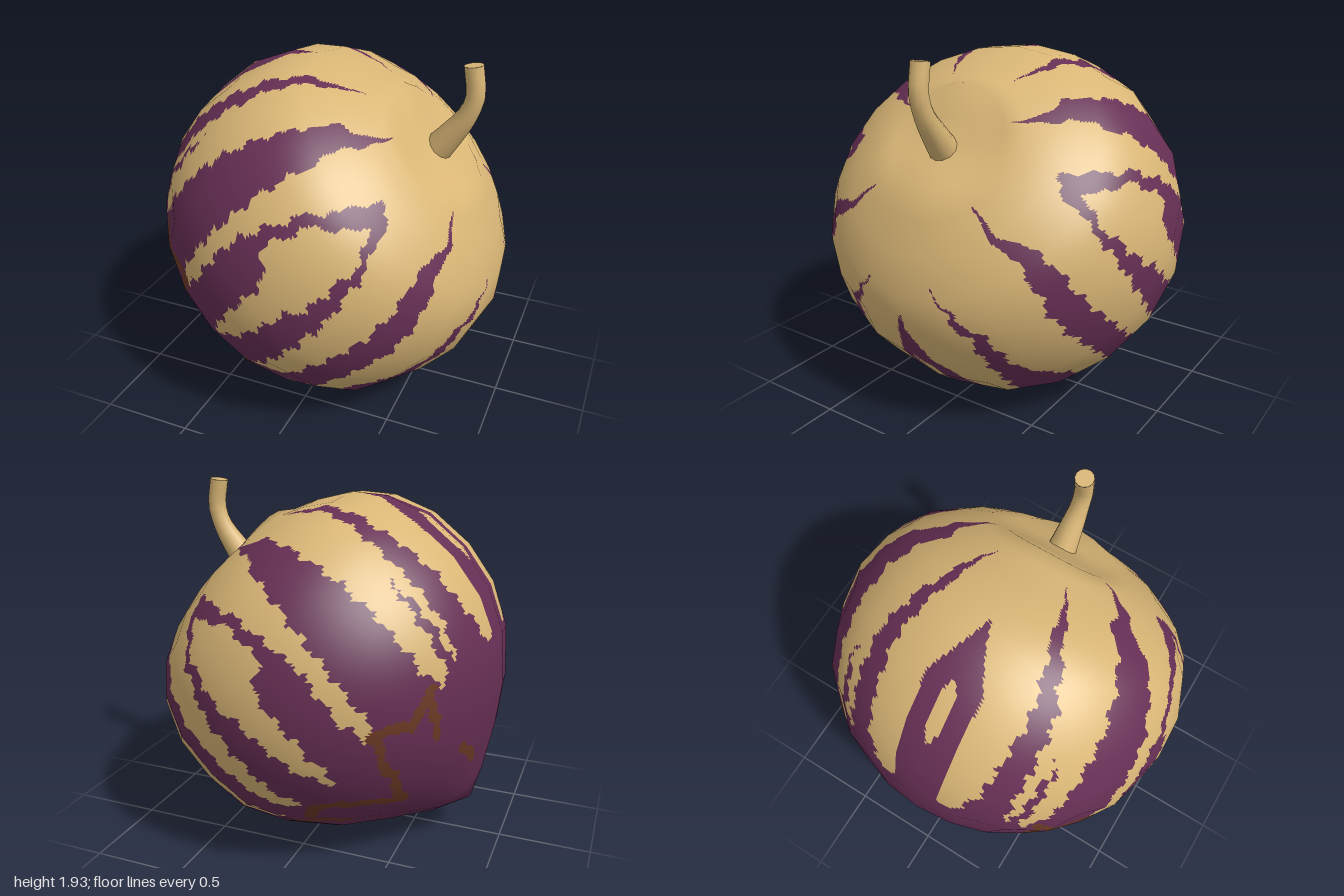
import * as THREE from 'three';

const V = (x, y, z) => new THREE.Vector3(x, y, z);
const mat = (name, color) => {
  const m = new THREE.MeshStandardMaterial({ color });
  m.name = name;
  return m;
};

// Leaning axis of the fruit: pointed tip low on the left, stem high on the right
const TIP = V(-0.82, 0.21, 0), AXIS = V(0.72, 0.694, 0), UP = V(-0.694, 0.72, 0);
// Profile rows: distance along axis, radius, sideways shift, saddle height of the rim
const ROWS = [
  [0, 0, 0, 0], [0.096, 0.2, -0.02, 0], [0.25, 0.44, -0.02, 0], [0.4, 0.645, -0.03, 0],
  [0.6, 0.825, -0.03, 0], [0.83, 0.945, -0.04, 0], [1.07, 0.98, -0.035, 0], [1.33, 0.962, -0.04, 0],
  [1.55, 0.875, -0.045, 0], [1.69, 0.755, -0.045, 0], [1.8, 0.575, -0.045, 0], [1.86, 0.42, -0.03, 0],
  [1.895, 0.31, 0, 0.025], [1.87, 0.16, -0.02, 0.012], [1.88, 0, -0.03, 0],
];
const SIDES = 20, SUB_A = 15, SUB_R = 13;

// Stripes running from tip to stem: distance along axis, then the two edge angles
// in degrees from the crown; both halves mirror each other
const STRIPES = [
  [[0.6, 0, 8], [0.85, 0, 8], [1.35, 0, 9], [1.66, 0, 0]],
  [[0.6, 14, 34], [0.85, 20, 30], [1.37, 23, 30], [1.74, 21, 25], [1.84, 25, 25]],
  [[0.6, 34, 38], [1.0, 34, 37], [1.2, 36, 36]],
  [[0.6, 41, 69], [0.76, 45, 67], [1.23, 46, 65], [1.65, 48, 63], [1.77, 48, 60], [1.88, 63, 63]],
  [[0.6, 71, 90], [0.85, 73, 87], [1.17, 71, 86], [1.26, 72, 84], [1.28, 72, 77], [1.55, 76, 80],
    [1.72, 84, 94], [1.78, 88, 92]],
  [[0.6, 92, 109], [0.85, 95, 107], [1.2, 97, 106], [1.25, 99, 106], [1.6, 99, 102], [1.76, 91, 96]],
  [[0.6, 114, 125], [1.0, 117, 127], [1.45, 119, 130], [1.7, 119, 128], [1.86, 134, 135]],
  [[0.6, 134, 162], [0.85, 137, 158], [1.1, 143, 156], [1.2, 148, 156], [1.5, 151, 156], [1.73, 165, 165]],
  [[0.6, 164, 180], [0.85, 170, 180], [1.15, 171, 180], [1.63, 180, 180]],
];
// Bare slits inside the crown and underside stripes
const SLITS = [
  [[0.99, 0, 0], [1.1, 0, 2.5], [1.3, 0, 2.5], [1.38, 0, 0]],
  [[0.95, 180, 180], [1.02, 178, 180], [1.2, 177.5, 180], [1.38, 180, 180]],
];
// Brown scratches: distance and angle at both ends
const SCRATCHES = [
  [0.69, 69, 0.43, 79], [0.43, 79, 0.33, 87], [0.33, 87, 0.6, 107], [0.6, 107, 0.57, 117], [0.66, 46, 0.48, 53],
  [0.66, 47, 0.62, 55], [0.6, 58, 0.68, 67], [0.28, 130, 0.57, 138], [0.43, 115, 0.62, 128], [0.23, 38, 0.32, 43],
];

const covers = (stripe, t, deg) => stripe.some((b, k) => {
  if (k === 0 || t < stripe[k - 1][0] || t > b[0]) return false;
  const a = stripe[k - 1], f = (t - a[0]) / (b[0] - a[0]);
  return deg >= a[1] + (b[1] - a[1]) * f && deg <= a[2] + (b[2] - a[2]) * f;
});
const onScratch = ([t1, d1, t2, d2], t, deg, perDeg) => {
  const x = t2 - t1, y = (d2 - d1) * perDeg, px = t - t1, py = (deg - d1) * perDeg;
  const f = THREE.MathUtils.clamp((px * x + py * y) / (x * x + y * y), 0, 1);
  return Math.hypot(px - f * x, py - f * y) < 0.026;
};

// Colour of the skin: 0 tan, 1 purple, 2 brown
function skin(t, radius, angle) {
  const deg = angle > 180 ? 360 - angle : angle;
  const ragged = deg + 0.9 * Math.sin(41 * t + deg * 0.1) + 0.6 * Math.sin(97 * t);
  if (SCRATCHES.some((s) => onScratch(s, t, ragged, radius * Math.PI / 180))) return 2;
  if (SLITS.some((s) => covers(s, t, deg))) return 0;
  const edge = 0.66 + 0.03 * Math.sin(deg * 0.4);
  // the middle stripes keep their straight edge where they meet the crown and underside
  const a = deg < 12 || deg > 168 ? deg : ragged;
  return t < edge || STRIPES.some((s) => covers(s, t, a)) ? 1 : 0;
}

function point(i, j) {
  const [t, r, c, saddle] = ROWS[i], a = (j / SIDES) * Math.PI * 2;
  return TIP.clone().addScaledVector(AXIS, t + saddle * Math.cos(2 * a))
    .addScaledVector(UP, c + r * Math.cos(a)).add(V(0, 0, 1.02 * r * Math.sin(a)));
}
function normal(i, j) {
  if (i === 0) return AXIS.clone().negate();
  if (i === ROWS.length - 1) return AXIS.clone();
  const around = point(i, j + 1).sub(point(i, j - 1));
  return around.cross(point(i + 1, j).sub(point(i - 1, j))).normalize();
}

// Faceted body, finely divided so the stripes can be separate faces
function bodyGeometry() {
  const pos = [], nor = [], faces = [[], [], []];
  const nr = (ROWS.length - 1) * SUB_R, na = SIDES * SUB_A;
  const blend = (f, i, j, v, w) => f(i, j).lerp(f(i, j + 1), w).lerp(f(i + 1, j).lerp(f(i + 1, j + 1), w), v);
  for (let r = 0; r <= nr; r++) {
    const i = Math.min(Math.floor(r / SUB_R), ROWS.length - 2);
    for (let a = 0; a <= na; a++) {
      const j = Math.min(Math.floor(a / SUB_A), SIDES - 1);
      const v = r / SUB_R - i, w = a / SUB_A - j;
      pos.push(...blend(point, i, j, v, w).toArray());
      nor.push(...blend(normal, i, j, v, w).normalize().toArray());
    }
  }
  const tri = (r, k, corners) => {
    const i = Math.floor(r / SUB_R), f = r / SUB_R - i;
    const t = THREE.MathUtils.lerp(ROWS[i][0], ROWS[i + 1][0], f);
    const radius = THREE.MathUtils.lerp(ROWS[i][1], ROWS[i + 1][1], f);
    // everything from the rim inwards is bare
    const colour = i >= ROWS.length - 3 ? 0 : skin(t, radius, (k / na) * 360);
    faces[colour].push(...corners);
  };
  for (let r = 0; r < nr; r++) for (let k = 0; k < na; k++) {
    const a = r * (na + 1) + k, c = a + na + 1;
    if (r > 0) tri(r + 1 / 3, k + 1 / 3, [a, a + 1, c]);
    if (r < nr - 1) tri(r + 2 / 3, k + 2 / 3, [a + 1, c + 1, c]);
  }
  const g = new THREE.BufferGeometry();
  g.setAttribute('position', new THREE.Float32BufferAttribute(pos, 3));
  g.setAttribute('normal', new THREE.Float32BufferAttribute(nor, 3));
  g.setIndex(faces.flat());
  let start = 0;
  faces.forEach((f, m) => { g.addGroup(start, f.length, m); start += f.length; });
  return g;
}

export function createModel() {
  const model = new THREE.Group();
  model.name = 'stripedFruit';
  const tan = mat('tan', 0xd9b676), purple = mat('purple', 0x672f55), brown = mat('brown', 0x6e3b26);

  const body = new THREE.Mesh(bodyGeometry(), [tan, purple, brown]);
  body.name = 'body';
  model.add(body);

  // Curved stem, thinning towards its cut end
  const path = new THREE.CatmullRomCurve3([V(0.54, 1.44, 0), V(0.61, 1.53, 0), V(0.7, 1.66, 0),
    V(0.735, 1.77, 0), V(0.715, 1.925, 0)]);
  const steps = 10, sides = 12, tube = new THREE.TubeGeometry(path, steps, 1, sides);
  const q = tube.attributes.position, v = V(0, 0, 0);
  for (let k = 0; k < q.count; k++) {
    const u = Math.floor(k / (sides + 1)) / steps, c = path.getPointAt(u);
    v.fromBufferAttribute(q, k).sub(c).multiplyScalar(Math.max(0.05, 0.083 - 0.06 * u)).add(c);
    q.setXYZ(k, v.x, v.y, v.z);
  }
  const stem = new THREE.Mesh(tube, tan);
  stem.name = 'stem';
  const cut = new THREE.Mesh(new THREE.CircleGeometry(0.05, sides), tan);
  cut.name = 'stemCut';
  cut.position.copy(path.getPointAt(1));
  cut.quaternion.setFromUnitVectors(V(0, 0, 1), path.getTangentAt(1));
  model.add(stem, cut);
  return model;
}
